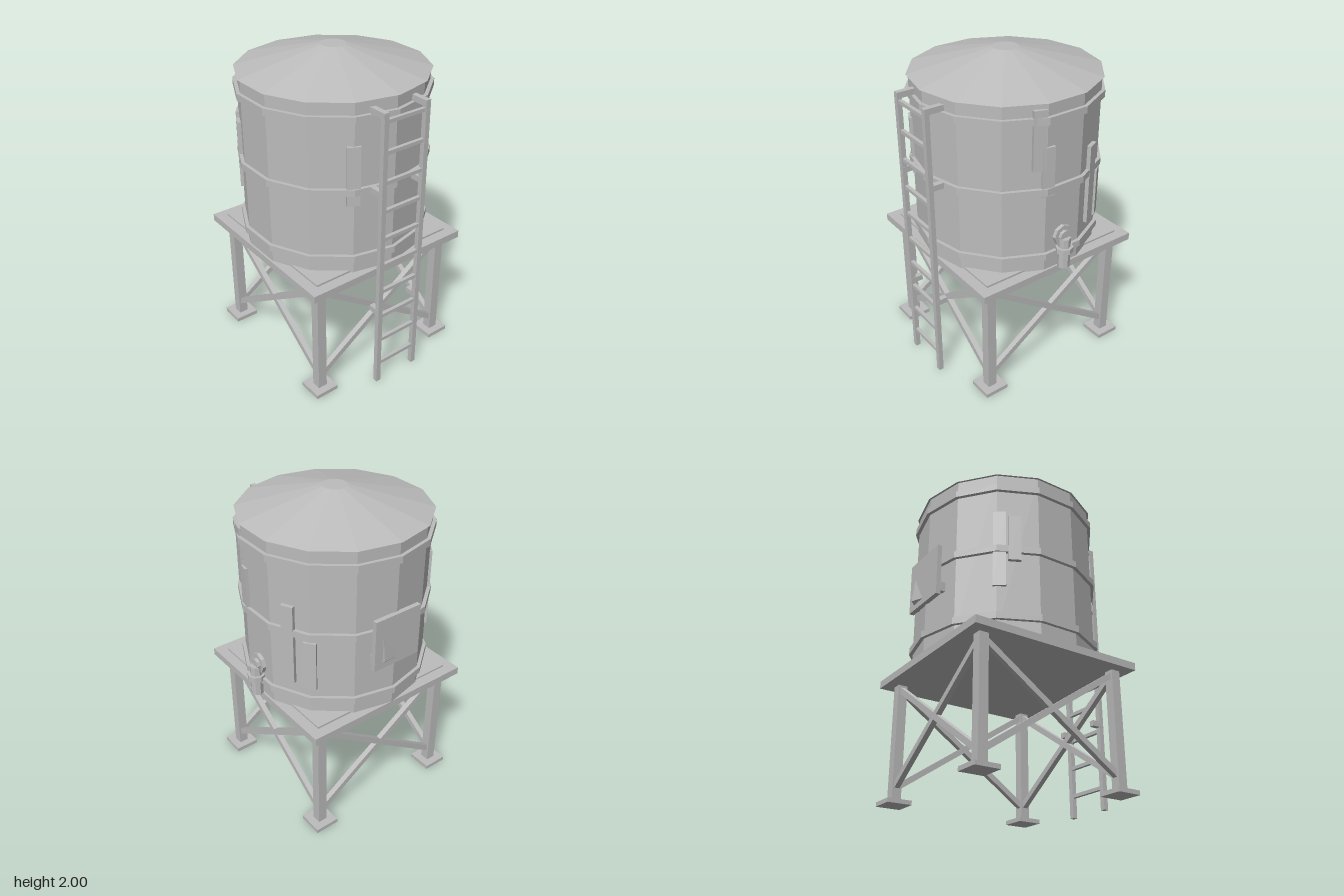
import * as THREE from 'three';
import { ConvexGeometry } from 'three/addons/geometries/ConvexGeometry.js';

export function createModel() {
  const model = new THREE.Group();
  model.name = 'waterTower';
  const grey = new THREE.MeshStandardMaterial({ color: 0xbcbcbc, flatShading: true });
  grey.name = 'plainGrey';

  const CX = -0.036, CZ = -0.023; // axis of the tank and stand

  function add(name, geometry, x = 0, y = 0, z = 0, parent = model) {
    const mesh = new THREE.Mesh(geometry, grey);
    mesh.name = name;
    mesh.position.set(x, y, z);
    parent.add(mesh);
    return mesh;
  }
  // Box given by its lower and upper corners
  function boxBetween(name, x0, x1, y0, y1, z0, z1, parent = model) {
    return add(name, new THREE.BoxGeometry(x1 - x0, y1 - y0, z1 - z0),
      (x0 + x1) / 2, (y0 + y1) / 2, (z0 + z1) / 2, parent);
  }
  // Upright prism between two heights
  function prism(name, rTop, rBottom, y0, y1, sides, x, z) {
    return add(name, new THREE.CylinderGeometry(rTop, rBottom, y1 - y0, sides), x, (y0 + y1) / 2, z);
  }

  // Tank, roof and hoops
  prism('tankWall', 0.567, 0.567, 0.80, 1.87, 14, CX, CZ);
  prism('roof', 0.078, 0.58, 1.868, 2.0, 14, CX, CZ);
  for (const y of [0.902, 1.338, 1.77]) prism('hoop', 0.589, 0.589, y - 0.021, y + 0.021, 14, CX, CZ);

  // Platform with a thin raised deck
  add('platform', new THREE.BoxGeometry(1.132, 0.047, 1.132), CX, 0.7765, CZ);
  add('deck', new THREE.BoxGeometry(0.998, 0.012, 0.998), CX, 0.806, CZ);

  // Legs and feet
  const L = 0.468;
  for (const sx of [-1, 1]) {
    for (const sz of [-1, 1]) {
      add('leg', new THREE.BoxGeometry(0.06, 0.74, 0.06), CX + sx * L, 0.385, CZ + sz * L);
      add('foot', new THREE.BoxGeometry(0.156, 0.026, 0.156), CX + sx * L, 0.013, CZ + sz * L);
    }
  }

  // Crossed braces on all four sides
  const span = 0.9, rise = 0.61;
  for (let i = 0; i < 4; i++) {
    const side = new THREE.Group();
    side.name = 'braceSide';
    side.position.set(CX, 0.42, CZ);
    side.rotation.y = i * Math.PI / 2;
    model.add(side);
    for (const s of [-1, 1]) {
      const bar = add('brace', new THREE.BoxGeometry(Math.hypot(span, rise), 0.036, 0.034), 0, 0, L, side);
      bar.rotation.z = s * Math.atan2(rise, span);
    }
  }

  // Ladder: rails, standoffs and rungs
  const ladder = new THREE.Group();
  ladder.name = 'ladder';
  model.add(ladder);
  for (const x of [-0.182, 0.11]) {
    boxBetween('ladderRail', x - 0.016, x + 0.016, 0, 1.82, 0.597, 0.627, ladder);
    for (const y of [0.538, 1.34, 1.808]) {
      boxBetween('ladderStandoff', x - 0.017, x + 0.017, y - 0.018, y + 0.018, y < 1 ? 0.545 : 0.5, 0.626, ladder);
    }
  }
  for (let i = 0; i < 10; i++) {
    add('rung', new THREE.BoxGeometry(0.27, 0.022, 0.022), -0.036, 0.138 + i * 0.1815, 0.61, ladder);
  }

  // Repair boards: angle around the tank from the front, lower and upper edge
  const boards = [
    [72.4, 1.475, 1.835], [78, 1.305, 1.61], [115.2, 0.997, 1.507], [128.5, 0.976, 1.294],
    [-26.1, 1.252, 1.613], [-127, 1.095, 1.595], [-118, 1.265, 1.565],
  ];
  for (const [degrees, y0, y1] of boards) {
    const a = THREE.MathUtils.degToRad(degrees), r = 0.562;
    const board = add('repairBoard', new THREE.BoxGeometry(0.077, y1 - y0, 0.03),
      CX + r * Math.sin(a), (y0 + y1) / 2, CZ + r * Math.cos(a));
    board.rotation.y = a;
  }

  // Rear hatch with the corner of a tilted handle plate coming through
  boxBetween('hatch', -0.197, 0.131, 1.107, 1.437, -0.612, -0.583);
  add('hatchHandle', new ConvexGeometry([
    new THREE.Vector3(0.073, 1.335, -0.61), new THREE.Vector3(0.073, 1.165, -0.631),
    new THREE.Vector3(-0.04, 1.145, -0.61), new THREE.Vector3(0.073, 1.14, -0.61),
  ]));
  for (const x of [-0.185, 0.1]) boxBetween('hatchHinge', x - 0.015, x + 0.015, 1.13, 1.19, -0.583, -0.545);

  // Tap: wall flange, short pipe, spout and collar
  const tapX = 0.55, tapZ = -0.02;
  const flange = prism('tapFlange', 0.065, 0.065, 0.99, 1.03, 8, 0.52, tapZ);
  flange.rotation.z = Math.PI / 2;
  const pipe = prism('tapPipe', 0.038, 0.038, 0.98, 1.04, 8, 0.53, tapZ);
  pipe.rotation.z = Math.PI / 2;
  prism('tapSpout', 0.038, 0.038, 0.80, 1.0, 8, tapX, tapZ);
  prism('tapCollar', 0.055, 0.055, 0.906, 0.94, 8, tapX, tapZ);

  return model;
}
